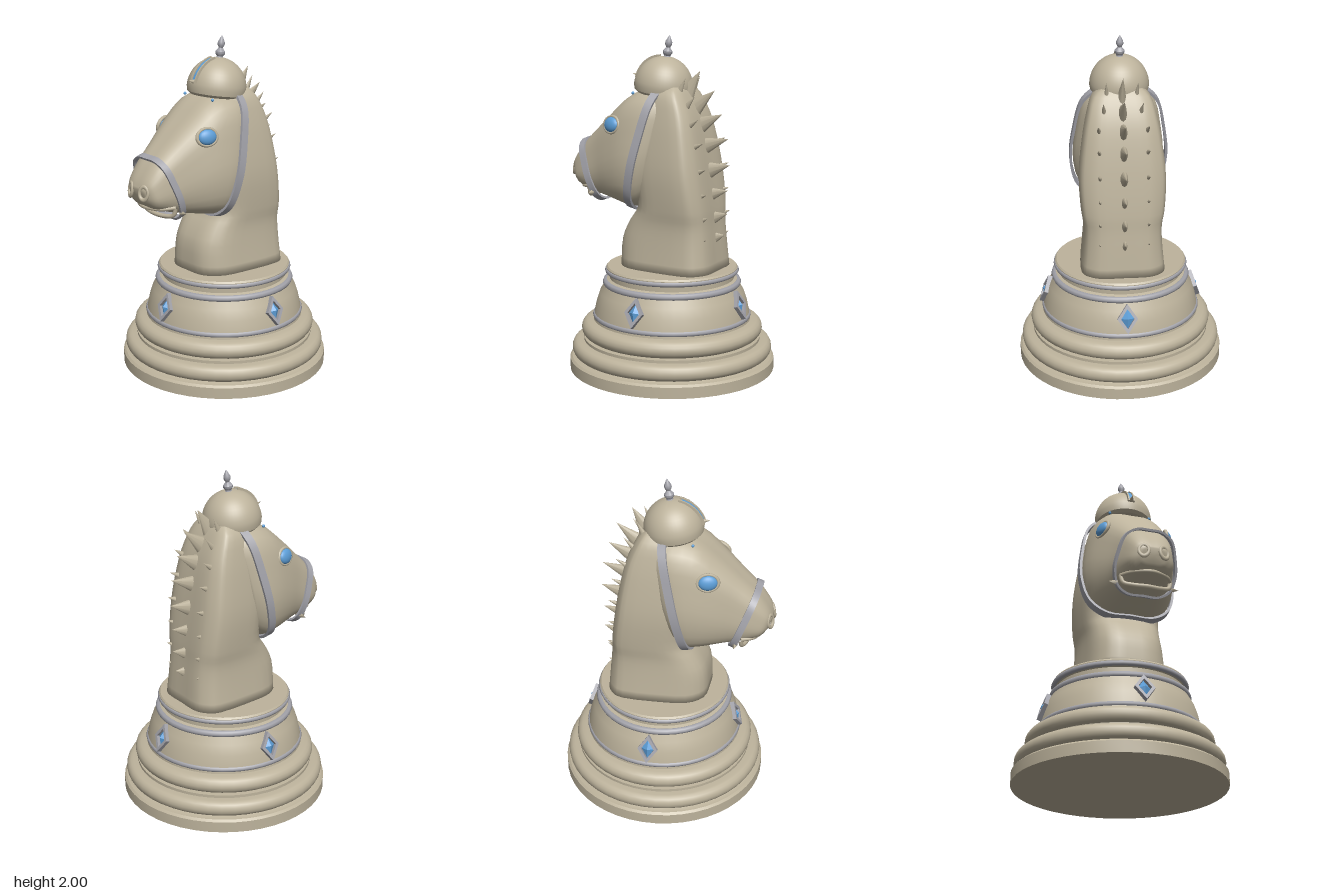
import * as THREE from 'three';
import { toCreasedNormals } from 'three/addons/utils/BufferGeometryUtils.js';

const V = (x, y, z) => new THREE.Vector3(x, y, z);
const mat = (name, color) => Object.assign(new THREE.MeshStandardMaterial({ color }), { name });
const CZ = -0.015; // centre of the round base

// Skin over a list of equal-length point loops, capped at both ends
function loft(rows) {
  const n = rows[0].length, pos = [], idx = [];
  rows.forEach(r => r.forEach(p => pos.push(p.x, p.y, p.z)));
  for (let i = 0; i < rows.length - 1; i++) for (let j = 0; j < n; j++) {
    const a = i * n + j, b = i * n + (j + 1) % n;
    idx.push(a, b, a + n, b, b + n, a + n);
  }
  [0, rows.length - 1].forEach((r, end) => {
    const c = rows[r].reduce((s, p) => s.add(p), V(0, 0, 0)).divideScalar(n), k = pos.length / 3;
    pos.push(c.x, c.y, c.z);
    for (let j = 0; j < n; j++) {
      const a = r * n + j, b = r * n + (j + 1) % n;
      idx.push(k, end ? a : b, end ? b : a);
    }
  });
  const g = new THREE.BufferGeometry();
  g.setAttribute('position', new THREE.Float32BufferAttribute(pos, 3));
  g.setIndex(idx);
  g.computeVertexNormals();
  return g;
}

// Half outline -> smooth closed loop
function loop(half, place, count = 40) {
  const pts = half.map(([a, b]) => place(a, b));
  half.slice(1, -1).reverse().forEach(([a, b]) => pts.push(place(-a, b)));
  return new THREE.CatmullRomCurve3(pts, true, 'centripetal').getPoints(count).slice(0, count);
}

// Smooth in-between loops
function refine(rows, steps) {
  const cols = rows[0].map((_, j) => new THREE.CatmullRomCurve3(rows.map(r => r[j]), false, 'centripetal').getPoints((rows.length - 1) * steps));
  return cols[0].map((_, i) => cols.map(c => c[i]));
}

// Head section: top point, bottom point and half width
const headHalf = [[0, 0], [0.5, 0.0], [0.85, 0.1], [1, 0.34], [0.93, 0.62], [0.76, 0.88], [0.42, 0.99], [0, 1]];
const headLoop = ([zt, yt, zb, yb, w], g = 0, count = 40) => loop(headHalf, (u, t) => {
  const h = Math.hypot(zt - zb, yt - yb), s = t + (t - 0.5) * 2 * g / h;
  return V(u * (w + g), yb + (yt - yb) * s, zb + (zt - zb) * s);
}, count);

// Flat strap wrapped around a head section
function strap(row, grow, halfWidth, thick) {
  const pts = headLoop(row, grow, 64), mid = V(0, (row[1] + row[3]) / 2, (row[0] + row[2]) / 2);
  const d = V(0, row[2] - row[0], row[1] - row[3]).normalize().multiplyScalar(halfWidth);
  const rows = pts.map(p => {
    const q = p.clone().add(p.clone().sub(mid).normalize().multiplyScalar(thick));
    return [p.clone().sub(d), p.clone().add(d), q.clone().add(d), q.clone().sub(d)];
  });
  rows.push(rows[0]);
  return toCreasedNormals(loft(rows), 0.6);
}

export function createModel() {
  const root = new THREE.Group();
  const stone = mat('stone', 0xbdb39c), metal = mat('metal', 0xa3a3aa), gem = mat('blueGem', 0x5c9dd6);
  const add = (name, geo, m, p = [0, 0, 0], parent = root) => {
    const mesh = new THREE.Mesh(geo, m);
    mesh.name = name;
    mesh.position.set(...p);
    parent.add(mesh);
    return mesh;
  };
  const lathe = pts => toCreasedNormals(new THREE.LatheGeometry(pts.map(p => new THREE.Vector2(...p)), 48), 0.6);

  // Stepped round base with two rounded mouldings
  const bulge = (y0, y1, r, d) => Array.from({ length: 9 }, (_, i) => {
    const a = -Math.PI / 2 + Math.PI * i / 8;
    return [r + d * Math.cos(a), (y0 + y1) / 2 + (y1 - y0) / 2 * Math.sin(a)];
  });
  add('base', lathe([[0, 0], [0.62, 0], [0.62, 0.066], [0.607, 0.078], [0.57, 0.082],
    ...bulge(0.085, 0.178, 0.565, 0.04), [0.535, 0.18], [0.535, 0.197],
    ...bulge(0.2, 0.302, 0.495, 0.052), [0.475, 0.305], [0.47, 0.34], [0.455, 0.41], [0.435, 0.47], [0.41, 0.515],
    [0.4, 0.545], [0.375, 0.555], [0.375, 0.585], [0.392, 0.595], [0.396, 0.62], [0.388, 0.63], [0, 0.63]]), stone, [0, 0, CZ]);

  // Metal rings
  [[0.33, 0.462, 0.017], [0.53, 0.398, 0.02], [0.603, 0.388, 0.016]].forEach(([y, r, t]) => {
    add('baseRing', new THREE.TorusGeometry(r, t, 8, 48).rotateX(Math.PI / 2), metal, [0, y, CZ]);
  });

  // Four framed diamond jewels
  const rhomb = (C, w, h) => {
    const s = new C();
    s.moveTo(w, 0); s.lineTo(0, h); s.lineTo(-w, 0); s.lineTo(0, -h); s.closePath();
    return s;
  };
  const frame = rhomb(THREE.Shape, 0.06, 0.088);
  frame.holes.push(rhomb(THREE.Path, 0.039, 0.058));
  const frameGeo = new THREE.ExtrudeGeometry(frame, { depth: 0.028, bevelEnabled: false });
  const gemGeo = new THREE.OctahedronGeometry(1).scale(0.039, 0.058, 0.026).toNonIndexed();
  for (let i = 0; i < 4; i++) {
    const pivot = new THREE.Group(), jewel = new THREE.Group();
    pivot.name = 'jewelMount'; jewel.name = 'jewel';
    pivot.position.z = CZ;
    pivot.rotation.y = i * Math.PI / 2;
    jewel.position.set(0, 0.43, 0.44);
    jewel.rotation.x = -0.33;
    add('jewelFrame', frameGeo, metal, [0, 0, 0], jewel);
    add('jewelStone', gemGeo, gem, [0, 0, 0.008], jewel);
    pivot.add(jewel);
    root.add(pivot);
  }

  // Neck: y, back z, front z, half width
  const neckHalf = [[0, 1], [0.55, 0.98], [0.88, 0.84], [1, 0.55], [1, 0.14], [0.85, 0.06], [0.6, 0.005], [0, 0]];
  const neck = [[0.62, -0.33, 0.272, 0.242], [0.8, -0.315, 0.262, 0.225], [0.91, -0.305, 0.21, 0.222], [1.0, -0.3, 0.15, 0.235],
    [1.2, -0.275, 0.16, 0.245], [1.4, -0.24, 0.15, 0.225], [1.55, -0.2, 0.13, 0.198], [1.67, -0.14, 0.1, 0.16], [1.73, -0.09, 0.06, 0.09]];
  add('neck', loft(refine(neck.map(([y, b, f, w]) => loop(neckHalf, (u, t) => V(u * w, y, b + (f - b) * t))), 3)), stone);

  // Head: top z, top y, bottom z, bottom y, half width
  const head = [[-0.06, 1.66, 0.06, 1.06, 0.22], [0.01, 1.685, 0.15, 0.995, 0.268], [0.18, 1.665, 0.22, 1.0, 0.26],
    [0.33, 1.55, 0.3, 1.015, 0.225], [0.45, 1.44, 0.38, 1.03, 0.185], [0.545, 1.35, 0.45, 1.045, 0.16],
    [0.595, 1.285, 0.51, 1.065, 0.143], [0.622, 1.24, 0.57, 1.085, 0.12], [0.638, 1.2, 0.61, 1.12, 0.07]];
  add('head', loft(refine(head.map(r => headLoop(r)), 3)), stone);

  // Bridle
  add('cheekStrap', strap([0.005, 1.685, 0.165, 1.0, 0.272], 0.006, 0.024, 0.016), metal);
  add('noseBand', strap([0.54, 1.355, 0.415, 1.02, 0.17], 0.005, 0.02, 0.013), metal);

  // Lips
  const tube = (pts, r) => new THREE.TubeGeometry(new THREE.CatmullRomCurve3(pts.map(p => V(...p))), 30, r, 8);
  add('lowerLip', tube([[-0.15, 1.09, 0.47], [-0.135, 1.045, 0.475], [-0.08, 1.03, 0.49], [0, 1.028, 0.5],
    [0.08, 1.03, 0.49], [0.135, 1.045, 0.475], [0.15, 1.09, 0.47]], 0.013), stone);
  add('upperLip', tube([[-0.148, 1.09, 0.47], [-0.1, 1.085, 0.54], [0, 1.085, 0.578], [0.1, 1.085, 0.54], [0.148, 1.09, 0.47]], 0.012), stone);

  for (const s of [-1, 1]) {
    // Eye with socket rim
    const eye = new THREE.Group();
    eye.name = s > 0 ? 'leftEye' : 'rightEye';
    eye.position.set(s * 0.198, 1.48, 0.28);
    eye.lookAt(s * 1.198, 1.68, 0.58);
    add('eyeball', new THREE.SphereGeometry(1, 24, 16).scale(0.055, 0.045, 0.026), gem, [0, 0, 0.004], eye);
    add('eyeRim', new THREE.TorusGeometry(0.06, 0.011, 8, 28).scale(1, 0.82, 1), stone, [0, 0, 0], eye);
    root.add(eye);

    // Nostril
    const nostril = add('nostril', new THREE.TorusGeometry(0.028, 0.01, 8, 20).scale(1, 1.35, 1), stone, [s * 0.06, 1.185, 0.627]);
    nostril.rotation.set(-0.15, s * 0.35, 0);

    // Small barb on the bit and beads under the helmet
    add('bitBarb', new THREE.ConeGeometry(0.018, 0.05, 4).rotateZ(-s * Math.PI / 2), stone, [s * 0.185, 1.06, 0.44]);
    add('helmetBead', new THREE.SphereGeometry(0.009, 10, 8), gem, [s * 0.125, 1.665, 0.178]);
  }

  // Domed helmet with crest inlay and finial
  const helmet = new THREE.Group();
  helmet.name = 'helmet';
  helmet.position.set(0, 1.7, 0.043);
  helmet.rotation.x = -0.14;
  root.add(helmet);
  const dome = Array.from({ length: 13 }, (_, i) => [0.174 * Math.cos(i * Math.PI / 24), 0.178 * Math.sin(i * Math.PI / 24)]);
  dome[12][0] = 0;
  add('dome', lathe([[0, -0.04], [0.15, -0.045], [0.168, -0.03], ...dome]), stone, [0, 0, 0], helmet);
  const arc = (r0, r1, a0, a1, w) => {
    const s = new THREE.Shape();
    s.absarc(0, 0, r1, a0, a1, false);
    s.absarc(0, 0, r0, a1, a0, true);
    return new THREE.ExtrudeGeometry(s, { depth: w, bevelEnabled: false, curveSegments: 14 }).translate(0, 0, -w / 2).rotateY(-Math.PI / 2);
  };
  add('crestInlay', arc(0.165, 0.181, 0.2, 1.2, 0.024), gem, [0, 0, 0], helmet);
  for (const s of [-1, 1]) add('crestRim', arc(0.165, 0.188, 0.12, 1.28, 0.009), stone, [s * 0.0165, 0, 0], helmet);
  add('crestTip', new THREE.ConeGeometry(0.02, 0.06, 8).rotateX(1.45), stone, [0, 0.035, 0.185], helmet);
  add('finial', lathe([[0, 0.17], [0.022, 0.172], [0.018, 0.183], [0.028, 0.198], [0.028, 0.21], [0.016, 0.225],
    [0.012, 0.232], [0.021, 0.25], [0.02, 0.265], [0.009, 0.288], [0, 0.304]]), metal, [0, 0, 0], helmet);

  // Mane spikes, each from its root to its tip
  const spike = (name, a, b, r, flat) => {
    const dir = b.clone().sub(a), len = dir.length();
    const m = add(name, new THREE.ConeGeometry(r, len, 10).scale(flat, 1, 1).translate(0, len / 2, 0), stone, a.toArray());
    m.quaternion.setFromUnitVectors(V(0, 1, 0), dir.normalize());
  };
  [[-0.11, 1.66, -0.2, 1.8], [-0.16, 1.58, -0.295, 1.69], [-0.19, 1.48, -0.345, 1.555], [-0.215, 1.36, -0.385, 1.415],
    [-0.245, 1.22, -0.395, 1.262], [-0.26, 1.08, -0.385, 1.112], [-0.275, 0.94, -0.385, 0.975], [-0.28, 0.82, -0.365, 0.845]]
    .forEach(([z0, y0, z1, y1], i) => {
      spike('maneSpike', V(0, y0, z0), V(0, y1, z1), i < 5 ? 0.055 : 0.045, 0.5);
      for (const s of [-1, 1]) {
        const x = s * (i < 2 ? 0.085 + 0.02 * i : 0.135);
        spike('sideManeSpike', V(x, y0, z0 + 0.01), V(x * 1.08, y0 + (y1 - y0) * 0.75, z0 + (z1 - z0) * 0.48), 0.025, 0.7);
      }
    });

  return root;
}
